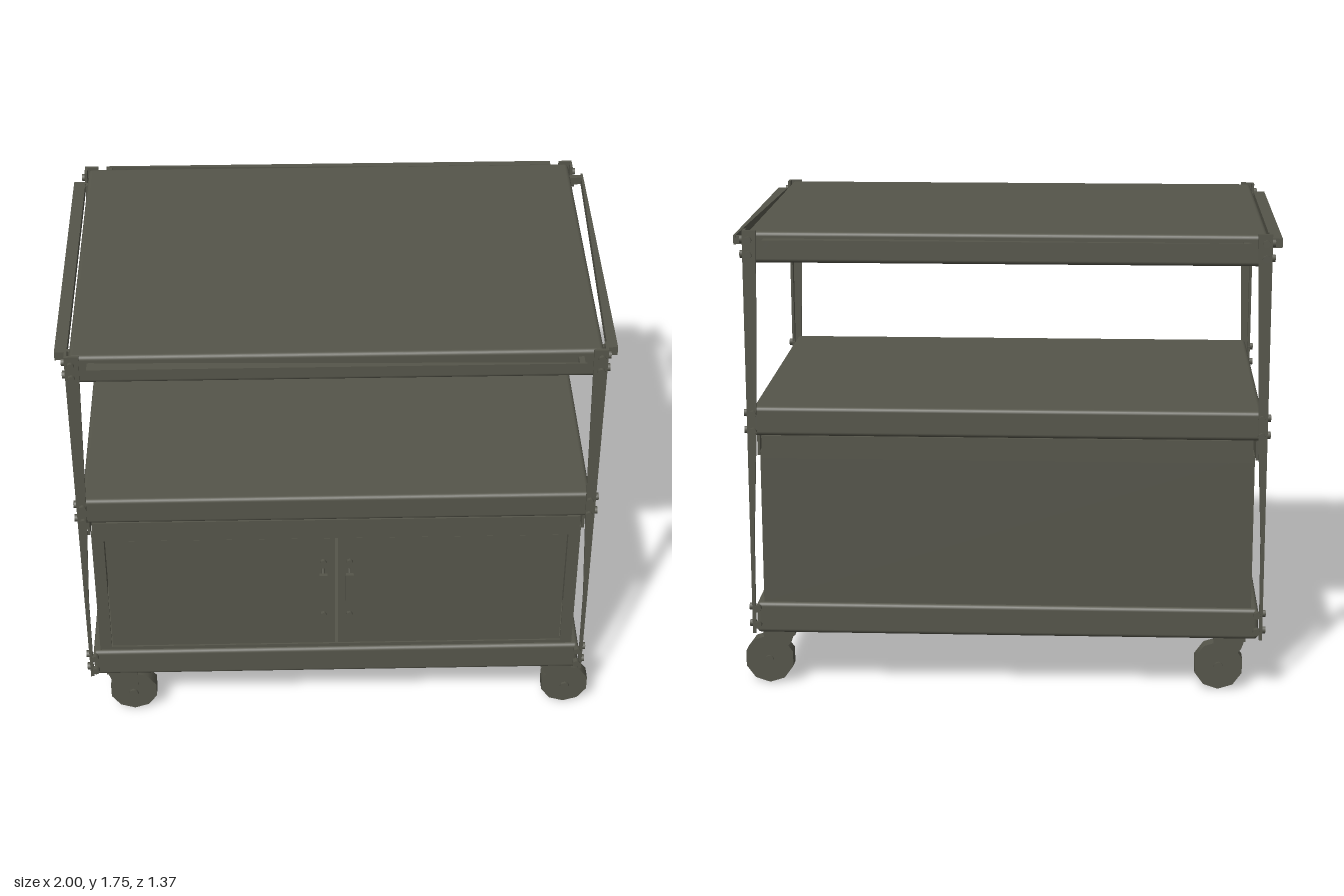
import * as THREE from 'three';
import { RoundedBoxGeometry } from 'three/addons/geometries/RoundedBoxGeometry.js';

const olive = new THREE.MeshStandardMaterial({ color: 0x55554a });
olive.name = 'dark olive metal';

function add(parent, name, geometry, x = 0, y = 0, z = 0) {
  const mesh = new THREE.Mesh(geometry, olive);
  mesh.name = name;
  mesh.position.set(x, y, z);
  parent.add(mesh);
  return mesh;
}

const box = (w, h, d) => new THREE.BoxGeometry(w, h, d);

const vectors = points => points.map(p => new THREE.Vector2(p[0], p[1]));

// polygon of [x, y] points extruded along +z
function prism(points, depth) {
  return new THREE.ExtrudeGeometry(new THREE.Shape(vectors(points)), { depth, bevelEnabled: false });
}

// bolt head with its axis along x or z
function bolt(parent, axis, x, y, z, r = 0.012) {
  const g = new THREE.CylinderGeometry(r, r, 0.022, 8);
  if (axis === 'x') g.rotateZ(Math.PI / 2);
  else g.rotateX(Math.PI / 2);
  add(parent, 'bolt', g, x, y, z);
}

function createShelves(model) {
  const shelf = (name, y0, y1, w, d) => add(model, name,
    new RoundedBoxGeometry(w, y1 - y0, d, 3, 0.016), 0, (y0 + y1) / 2, 0);
  shelf('topShelf', 1.63, 1.745, 1.89, 1.265);
  shelf('middleShelf', 0.98, 1.09, 1.88, 1.265);
  shelf('bottomShelf', 0.21, 0.33, 1.89, 1.265);
}

// sheet-metal cabinet, hollow inside, under flanges hanging from the middle shelf
function createCabinet() {
  const cabinet = new THREE.Group();
  cabinet.name = 'cabinet';
  add(cabinet, 'backPanel', box(1.834, 0.59, 0.01), 0, 0.625, -0.613);
  for (const s of [-1, 1]) {
    add(cabinet, 'sidePanel', box(0.01, 0.59, 1.236), s * 0.912, 0.625, 0);
    add(cabinet, 'sideFlange', box(0.01, 0.085, 1.182), s * 0.927, 0.9375, 0.004);
    add(cabinet, 'endFlange', box(1.82, 0.085, 0.01), 0, 0.9375, s * 0.624);
  }
  // front frame with a single opening
  const frame = new THREE.Shape(vectors([[-0.917, 0.33], [0.917, 0.33], [0.917, 0.92], [-0.917, 0.92]]));
  frame.holes.push(new THREE.Path(vectors([[-0.872, 0.345], [-0.872, 0.882], [0.872, 0.882], [0.872, 0.345]])));
  add(cabinet, 'doorFrame',
    new THREE.ExtrudeGeometry(frame, { depth: 0.01, bevelEnabled: false }), 0, 0, 0.608);
  // pair of doors with bowed pulls
  for (const s of [-1, 1]) {
    add(cabinet, 'door', box(0.862, 0.531, 0.01), s * 0.437, 0.6135, 0.61);
    const path = new THREE.CatmullRomCurve3([[0.53, 0.616], [0.56, 0.635], [0.63, 0.64], [0.7, 0.635], [0.73, 0.616]]
      .map(p => new THREE.Vector3(s * 0.05, p[0], p[1])));
    add(cabinet, 'doorPull', new THREE.TubeGeometry(path, 10, 0.006, 6));
    add(cabinet, 'doorGrip', box(0.03, 0.18, 0.014), s * 0.05, 0.63, 0.64);
    for (const y of [0.5, 0.765]) bolt(cabinet, 'z', s * 0.05, y, 0.616);
  }
  return cabinet;
}

// angle-iron corner posts whose two flanges taper toward the floor
function createPosts(model) {
  const flange = [[0, 0.21], [0.012, 0.21], [0.016, 0.6], [0.034, 1.0], [0.052, 1.75], [0, 1.75]];
  for (const sx of [-1, 1]) for (const sz of [-1, 1]) {
    const post = new THREE.Group();
    post.name = 'cornerPost';
    const face = prism(flange.map(p => [-sx * p[0], p[1]]), 0.01);
    add(post, 'postFaceFlange', face, sx * 0.96, 0, sz > 0 ? 0.63 : -0.64);
    const side = prism(flange.map(p => [sz * p[0], p[1]]), 0.01).rotateY(Math.PI / 2);
    add(post, 'postSideFlange', side, sx > 0 ? 0.95 : -0.96, 0, sz * 0.64);
    for (const y of [0.245, 0.31, 1.0, 1.065, 1.66, 1.715]) {
      bolt(post, 'z', sx * 0.938, y, sz * 0.641, 0.014);
      bolt(post, 'x', sx * 0.961, y, sz * 0.617, 0.014);
    }
    model.add(post);
  }
}

// rails around the top shelf; depth is given at the two ends
function createRail(model, name, half, offset, angle, outer, startDepth, endDepth) {
  const rail = new THREE.Group();
  rail.name = name;
  const plan = [[-half, -outer], [half, -outer], [half, -outer + endDepth], [-half, -outer + startDepth]];
  const bar = prism(plan, 0.034).rotateX(-Math.PI / 2);
  add(rail, 'railBar', bar, 0, 1.689, 0);
  for (const s of [-1, 1]) {
    add(rail, 'railBracket', box(0.02, 0.03, outer - offset), s * (half - 0.015), 1.705, (outer + offset) / 2);
  }
  rail.rotation.y = angle;
  model.add(rail);
}

function createRails(model) {
  createRail(model, 'frontRail', 0.88, 0.62, 0, 0.68, 0.042, 0.006);
  createRail(model, 'backRail', 0.88, 0.62, Math.PI, 0.685, 0.042, 0.006);
  createRail(model, 'leftRail', 0.585, 0.94, Math.PI / 2, 1.0, 0.038, 0.008);
  createRail(model, 'rightRail', 0.57, 0.94, -Math.PI / 2, 1.0, 0.044, 0.044);
}

// swivel casters, all trailing toward +x
function createCaster(x, z) {
  const caster = new THREE.Group();
  caster.name = 'caster';
  const wheel = new THREE.CylinderGeometry(0.094, 0.094, 0.056, 10).rotateX(Math.PI / 2);
  add(caster, 'wheel', wheel, 0, 0.094, 0);
  const axle = new THREE.CylinderGeometry(0.018, 0.018, 0.092, 8).rotateX(Math.PI / 2);
  add(caster, 'axle', axle, 0, 0.094, 0);
  const fork = [[-0.1, 0.21], [-0.085, 0.165], [-0.02, 0.085], [0.018, 0.08], [0.02, 0.21]];
  for (const dz of [-0.037, 0.031]) add(caster, 'forkPlate', prism(fork, 0.006), 0, 0, dz);
  add(caster, 'forkCrown', box(0.12, 0.02, 0.074), -0.04, 0.202, 0);
  caster.position.set(x, 0, z);
  return caster;
}

export function createModel() {
  const model = new THREE.Group();
  model.name = 'utilityCart';
  createShelves(model);
  model.add(createCabinet());
  createPosts(model);
  createRails(model);
  for (const x of [-0.8, 0.905]) for (const z of [-0.57, 0.575]) model.add(createCaster(x, z));
  return model;
}
